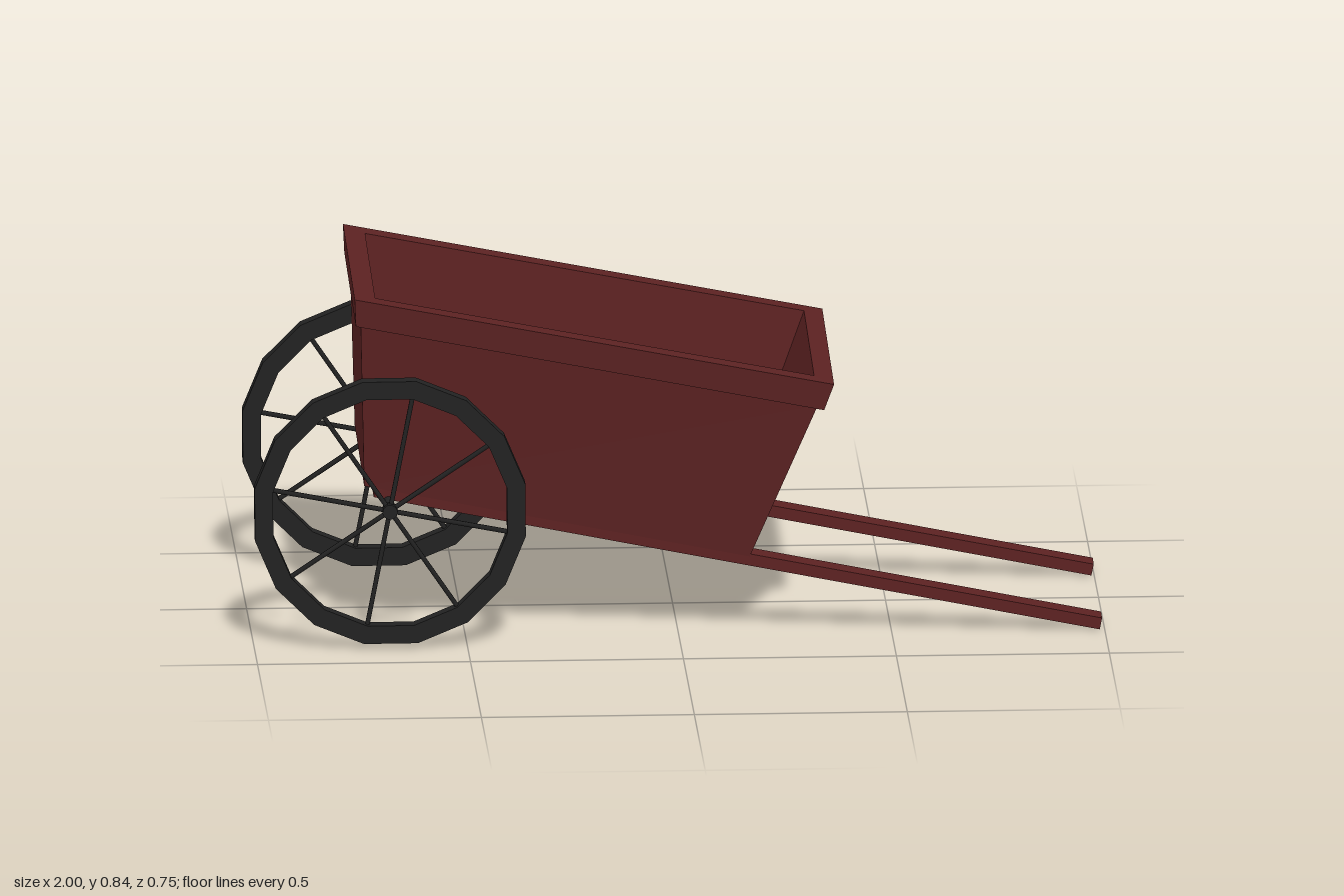
import * as THREE from 'three';

const red = new THREE.MeshStandardMaterial({ color: 0x5c2222 });
red.name = 'dark red wood';
const black = new THREE.MeshStandardMaterial({ color: 0x222222 });
black.name = 'black iron';

// Four corners, counterclockwise from above; back and front edges may differ in height
const loop = (xb, yb, xf, yf, hz) => [[xb, yb, -hz], [xb, yb, hz], [xf, yf, hz], [xf, yf, -hz]];

// Flat-faced shell through a list of loops, with optional caps
function shell(name, loops, { bottom, top } = {}) {
  const pos = [];
  const quad = (a, b, c, d) => pos.push(...a, ...b, ...c, ...a, ...c, ...d);
  for (let k = 0; k + 1 < loops.length; k++) {
    const a = loops[k], b = loops[k + 1];
    for (let i = 0; i < 4; i++) {
      const j = (i + 1) % 4;
      quad(a[i], a[j], b[j], b[i]);
    }
  }
  if (bottom) quad(...[...loops[0]].reverse());
  if (top) quad(...loops[loops.length - 1]);
  const geo = new THREE.BufferGeometry();
  geo.setAttribute('position', new THREE.Float32BufferAttribute(pos, 3));
  geo.computeVertexNormals();
  return part(name, geo, red);
}

function part(name, geo, material) {
  const mesh = new THREE.Mesh(geo, material);
  mesh.name = name;
  return mesh;
}

// Sixteen-sided iron hoop with eight thin spokes
function makeWheel(name) {
  const wheel = new THREE.Group();
  wheel.name = name;
  const ri = 0.28, ro = 0.324, w = 0.018;
  const profile = [[ri, -w], [ro, -w], [ro, w], [ri, w], [ri, -w]].map(p => new THREE.Vector2(...p));
  const hoop = new THREE.LatheGeometry(profile, 16).toNonIndexed();
  hoop.computeVertexNormals();
  hoop.rotateX(Math.PI / 2);
  wheel.add(part('hoop', hoop, black));
  for (let i = 0; i < 4; i++) {
    const spoke = part('spokePair', new THREE.CylinderGeometry(0.006, 0.006, 0.58, 6), black);
    spoke.rotation.z = i * Math.PI / 4;
    wheel.add(spoke);
  }
  const hub = part('hub', new THREE.CylinderGeometry(0.018, 0.018, 0.03, 10), black);
  hub.rotation.x = Math.PI / 2;
  wheel.add(hub);
  wheel.rotation.z = -0.19;
  return wheel;
}

export function createModel() {
  const model = new THREE.Group();
  model.name = 'handcart';
  const cart = new THREE.Group();
  cart.name = 'cart';
  model.add(cart);

  // Tub, thick rim and hollow inside
  const base = loop(-0.735, 0.371, 0.17, 0.19, 0.272);
  const neck = loop(-0.745, 0.775, 0.328, 0.568, 0.318);
  const rimLow = loop(-0.757, 0.775, 0.342, 0.56, 0.333);
  const rimTop = loop(-0.76, 0.842, 0.365, 0.624, 0.34);
  const mouth = loop(-0.71, 0.832, 0.32, 0.633, 0.29);
  const floor = loop(-0.69, 0.385, 0.165, 0.215, 0.243);
  cart.add(shell('tub', [base, neck], { bottom: true }));
  cart.add(shell('rim', [neck, rimLow, rimTop, mouth]));
  cart.add(shell('inside', [mouth, floor], { top: true }));

  // Handle bars running under the tub
  const x0 = -0.71, y0 = 0.357, x1 = 0.994, y1 = 0.017;
  for (const side of [1, -1]) {
    const bar = part(side > 0 ? 'leftHandle' : 'rightHandle',
      new THREE.BoxGeometry(Math.hypot(x1 - x0, y1 - y0), 0.028, 0.058), red);
    bar.position.set((x0 + x1) / 2, (y0 + y1) / 2, side * 0.241);
    bar.rotation.z = Math.atan2(y1 - y0, x1 - x0);
    cart.add(bar);
  }

  // Wheels and axle
  for (const side of [1, -1]) {
    const wheel = makeWheel(side > 0 ? 'leftWheel' : 'rightWheel');
    wheel.position.set(-0.678, 0.333, side * 0.349 + 0.007);
    cart.add(wheel);
  }
  const axle = part('axle', new THREE.CylinderGeometry(0.012, 0.012, 0.702, 10), black);
  axle.rotation.x = Math.PI / 2;
  axle.position.set(-0.678, 0.333, -0.023);
  cart.add(axle);

  // Slight turn of the whole cart
  cart.rotation.y = -0.0105;
  cart.position.z = 0.006;
  return model;
}
